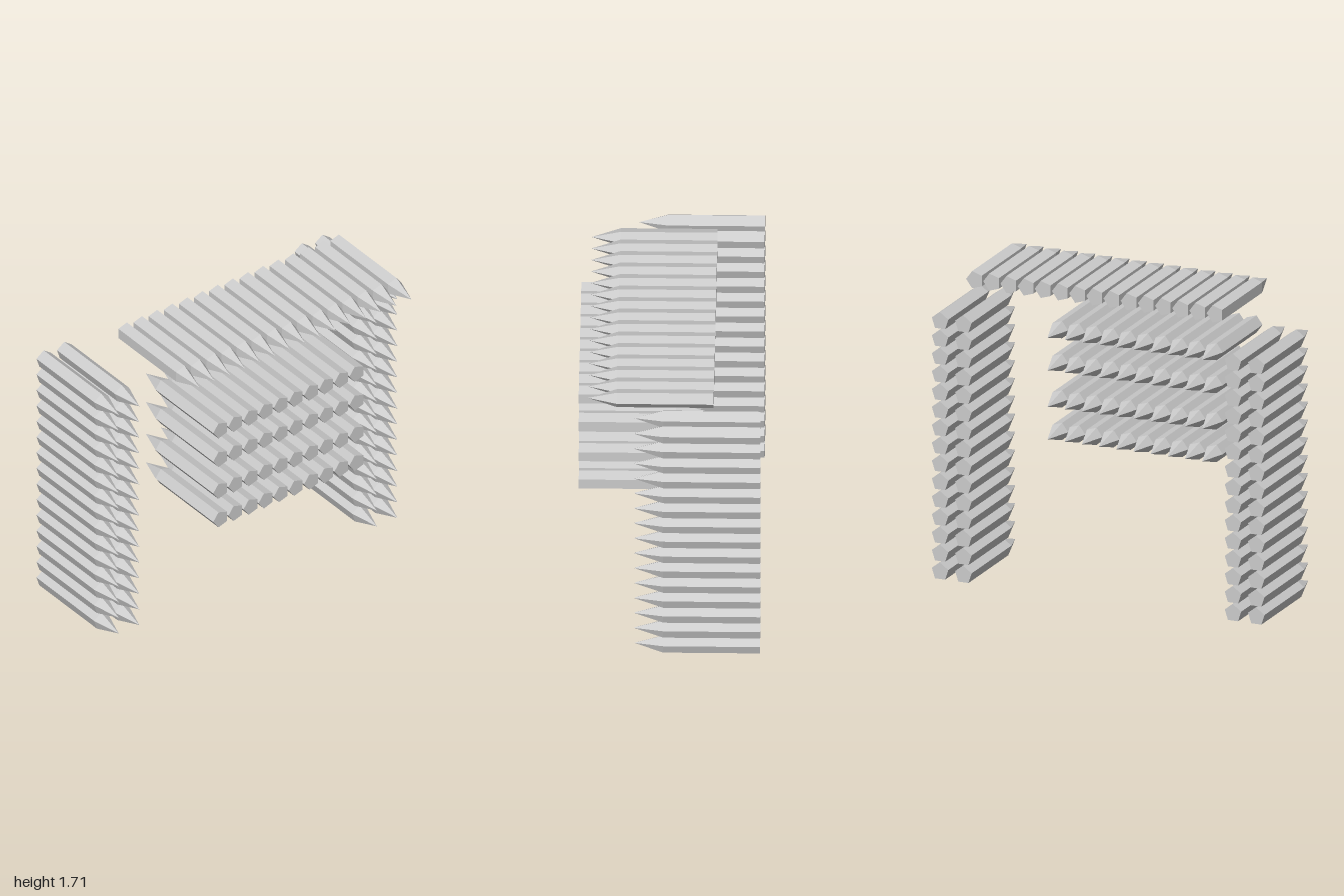
import * as THREE from 'three';
import { mergeGeometries } from 'three/addons/utils/BufferGeometryUtils.js';

const R = 0.052;      // circumradius of the pentagonal section
const BODY = 0.53;    // length of the straight shaft
const TIP = 0.16;     // length of the pointed end
const STEP = 0.1032;  // spacing between neighbours

// Five-sided stake: flat end at z = 0, point towards +z, one ridge facing up
function stakeGeometry() {
  const shaft = new THREE.CylinderGeometry(R, R, BODY, 5, 1, true).translate(0, BODY / 2, 0);
  const point = new THREE.ConeGeometry(R, TIP, 5, 1, true).translate(0, BODY + TIP / 2, 0);
  const end = new THREE.CircleGeometry(R, 5, Math.PI / 2).rotateY(Math.PI);
  const long = mergeGeometries([shaft, point]).rotateX(Math.PI / 2).rotateZ(Math.PI);
  return mergeGeometries([long, end]);
}

export function createModel() {
  const model = new THREE.Group();
  const geometry = stakeGeometry();
  const material = new THREE.MeshStandardMaterial({ color: 0xcccccc, flatShading: true });

  // A row of stakes starting at `start`, advancing by `step`
  function addRow(name, count, start, step, roll = 0, turn = 0) {
    const row = new THREE.Group();
    row.name = name;
    for (let i = 0; i < count; i++) {
      const stake = new THREE.Mesh(geometry, material);
      stake.name = 'stake';
      stake.position.set(start[0] + step[0] * i, start[1] + step[1] * i, start[2]);
      stake.rotation.set(0, turn, roll);
      row.add(stake);
    }
    model.add(row);
  }

  // Double columns on each side, points forward
  for (const side of [-1, 1]) {
    const label = side > 0 ? 'left' : 'right';
    addRow(label + 'OuterColumn', 15, [side * 0.95, 0.042, -0.5], [0, STEP]);
    addRow(label + 'InnerColumn', 15, [side * 0.81, 0.042, -0.5], [0, STEP]);
  }

  // Roof row, ridge rolled towards +x
  addRow('roofRow', 15, [-0.588, 1.66, -0.245], [STEP, 0], -Math.PI / 2);

  // Four middle rows, points backward, ridge towards -x
  for (const y of [1.367, 1.178, 0.968, 0.78]) {
    addRow('middleRow', 10, [-0.484, y, 0.5], [STEP, 0], -Math.PI / 2, Math.PI);
  }
  return model;
}
